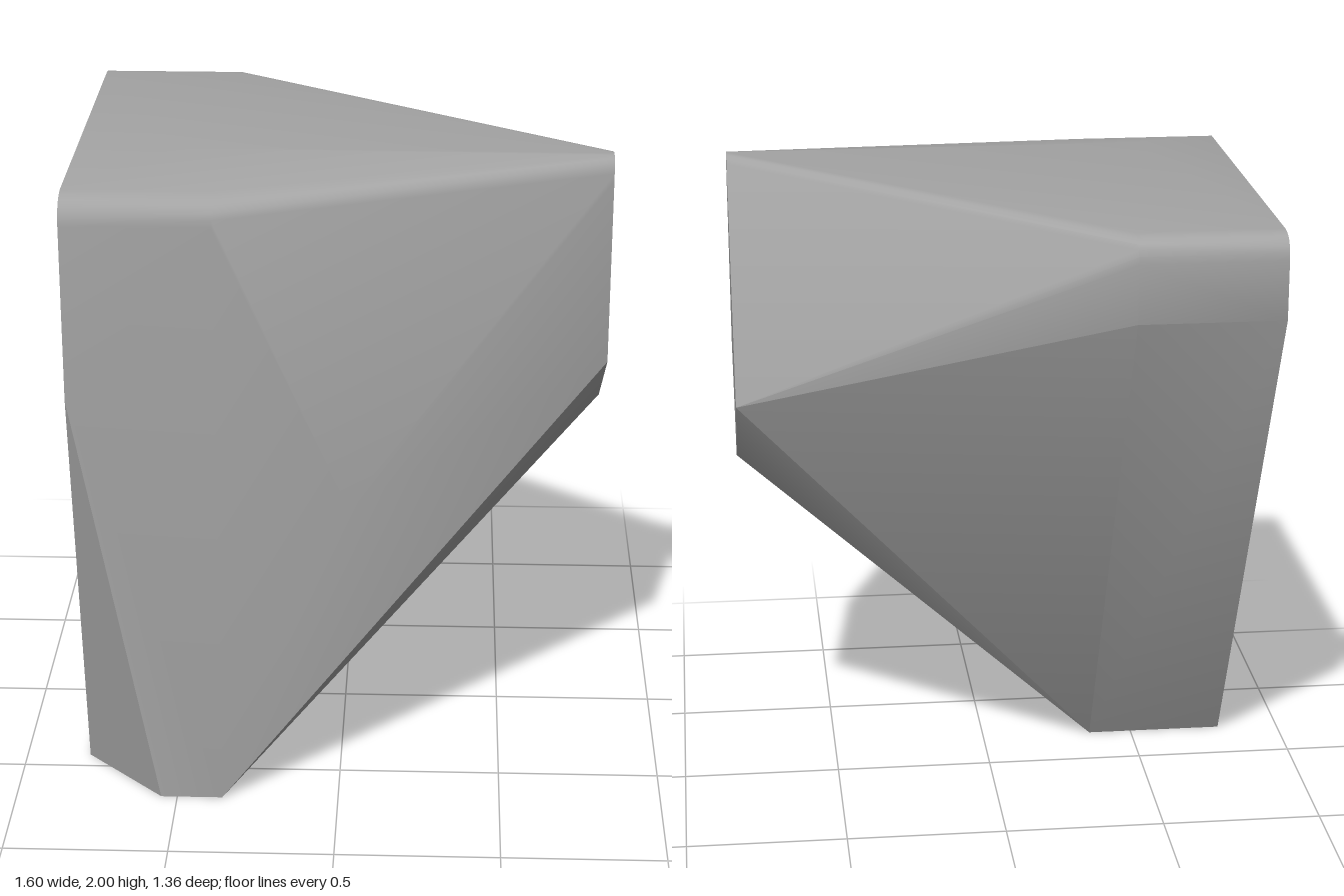
import * as THREE from 'three';
import { ConvexGeometry } from 'three/addons/geometries/ConvexGeometry.js';
import { toCreasedNormals } from 'three/addons/utils/BufferGeometryUtils.js';

const P = (x, y, z) => new THREE.Vector3(x, y, z);

// Rounded corner in a plane of constant x, from a to b around corner c, each [y, z]
function fillet(x, a, c, b) {
  return new THREE.QuadraticBezierCurve3(P(x, ...a), P(x, ...c), P(x, ...b)).getPoints(6);
}

export function createModel() {
  const group = new THREE.Group();
  group.name = 'boulder';
  const stone = new THREE.MeshStandardMaterial({ color: 0xa3a3a3 });
  stone.name = 'stone grey';

  const points = [
    // narrow foot
    P(-0.36, 0, 0.68), P(-0.36, 0, 0.2), P(-0.8, 0, 0.2), P(-0.8, 0, 0.43), P(-0.55, 0, 0.68),
    // front: top of the corner chamfer and the bulge
    P(-0.8, 1.33, 0.68), P(0.03, 1.0, 0.68),
    // flat cut on the +x end
    P(0.8, 1.36, 0.39), P(0.8, 1.1, 0.02), P(0.8, 1.33, -0.2),
    // top ridge
    P(-0.5, 2, 0.34),
    // rounded top edges of the +x end
    ...fillet(0.8, [1.93, 0.39], [2, 0.39], [2, 0.34]),
    ...fillet(0.8, [1.975, 0.285], [2, 0.305], [2, 0.34]),
  ];

  // rounded top edges along the front and back, and the upright back edge
  for (const x of [-0.8, -0.36]) {
    points.push(
      ...fillet(x, [1.87, 0.68], [1.942, 0.68], [1.955, 0.6]),
      ...fillet(x, [1.88, -0.68], [1.953, -0.68], [1.955, -0.6]),
      P(x, 1.7, -0.68),
    );
  }

  const rock = new THREE.Mesh(toCreasedNormals(new ConvexGeometry(points), 0.52), stone);
  rock.name = 'rock';
  group.add(rock);
  return group;
}
